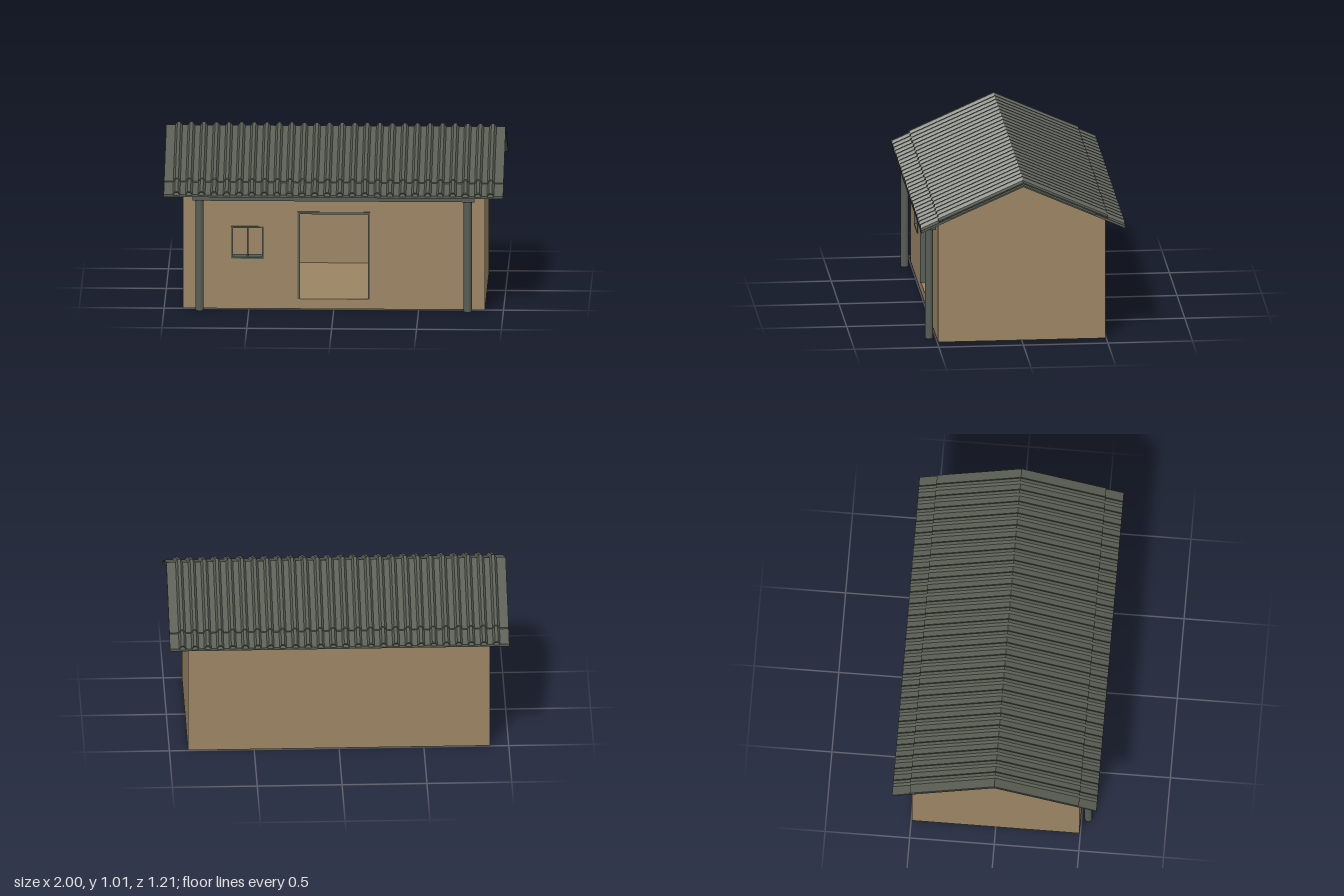
import * as THREE from 'three';

const SLOPE = 0.444;           // roof drop per unit of depth
const WALL_X = 0.89, WALL_Z = 0.495, THICK = 0.07;

function material(name, color) {
  const m = new THREE.MeshStandardMaterial({ color });
  m.name = name;
  return m;
}

function poly(points) {
  return new THREE.Shape(points.map(([x, y]) => new THREE.Vector2(x, y)));
}

function rect(x0, x1, y0, y1) {
  return [[x0, y0], [x1, y0], [x1, y1], [x0, y1]];
}

function extrude(shape, depth, z = 0) {
  const g = new THREE.ExtrudeGeometry(shape, { depth, bevelEnabled: false });
  return g.translate(0, 0, z);
}

// Extrudes a (z, y) outline along x, centred on x
function extrudeAlongX(points, width, x = 0) {
  const g = extrude(poly(points.map(([z, y]) => [-z, y])), width, -width / 2);
  return g.rotateY(Math.PI / 2).translate(x, 0, 0);
}

// Closed outline of a ribbed metal sheet, seen from its end
function ribbedProfile() {
  const top = [[-1, 0]];
  const ribs = 26, pitch = 0.074, height = 0.019;
  for (let i = 0; i < ribs; i++) {
    const c = (i - (ribs - 1) / 2) * pitch;
    top.push([c - 0.021, 0], [c - 0.009, height], [c + 0.009, height], [c + 0.021, 0]);
  }
  top.push([1, 0]);
  const t = 0.007;
  const upper = top.map(([x, y]) => [x, y + t]).reverse();
  return poly([...top, ...upper]);
}

// Sheet running down the front slope from z0 to z1; ridgeY is its height at z = 0
function slopedSheet(shape, z0, z1, ridgeY) {
  const shear = new THREE.Matrix4().set(
    1, 0, 0, 0,
    0, 1, -SLOPE, ridgeY,
    0, 0, 1, 0,
    0, 0, 0, 1);
  return extrude(shape, z1 - z0, z0).applyMatrix4(shear);
}

export function createModel() {
  const house = new THREE.Group();
  house.name = 'house';
  const clay = material('clay', 0x9c8564);
  const metal = material('roofMetal', 0x585c52);
  const trim = material('trim', 0x565d55);

  function add(name, geometry, mat, parent = house) {
    const mesh = new THREE.Mesh(geometry, mat);
    mesh.name = name;
    parent.add(mesh);
    return mesh;
  }

  // Floor and walls
  const innerX = WALL_X - THICK, innerZ = WALL_Z - THICK;
  add('floor', new THREE.BoxGeometry(innerX * 2, 0.06, innerZ * 2).translate(0, 0.03, 0), clay);
  const eaveY = 0.965 - WALL_Z * SLOPE;
  const gable = [[-WALL_Z, 0], [WALL_Z, 0], [WALL_Z, eaveY], [0, 0.965], [-WALL_Z, eaveY]];
  for (const s of [-1, 1]) {
    add(s > 0 ? 'leftGableWall' : 'rightGableWall',
      extrudeAlongX(gable, THICK, s * (WALL_X - THICK / 2)), clay);
  }
  const longWall = () => poly(rect(-innerX, innerX, 0, 0.7));
  add('backWall', extrude(longWall(), THICK, -WALL_Z), clay);

  const doorOpening = rect(-0.213, 0.213, 0.06, 0.588);
  const windowOpening = rect(-0.605, -0.412, 0.302, 0.498);
  const front = longWall();
  front.holes.push(poly(doorOpening), poly(windowOpening));
  add('frontWall', extrude(front, THICK, innerZ), clay);

  // Door and window frames lining the openings
  const frameDepth = THICK + 0.006;
  const doorFrame = poly([[-0.213, 0.06], [-0.2, 0.06], [-0.2, 0.574], [0.2, 0.574],
    [0.2, 0.06], [0.213, 0.06], [0.213, 0.588], [-0.213, 0.588]]);
  add('doorFrame', extrude(doorFrame, frameDepth, innerZ), trim);

  const windowGroup = new THREE.Group();
  windowGroup.name = 'window';
  house.add(windowGroup);
  const windowFrame = poly(windowOpening);
  windowFrame.holes.push(poly(rect(-0.595, -0.422, 0.312, 0.488)));
  add('windowFrame', extrude(windowFrame, frameDepth, innerZ), trim, windowGroup);
  add('windowMullion',
    new THREE.BoxGeometry(0.01, 0.176, 0.02).translate(-0.5085, 0.4, 0.46), trim, windowGroup);

  // Porch posts carrying a beam with a sloped top
  for (const s of [-1, 1]) {
    add(s > 0 ? 'leftPost' : 'rightPost',
      new THREE.CylinderGeometry(0.024, 0.024, 0.68, 12).translate(s * 0.79, 0.34, 0.54), trim);
  }
  const under = z => 0.966 - z * SLOPE;
  add('porchBeam', extrudeAlongX(
    [[0.503, 0.67], [0.576, 0.67], [0.576, under(0.576)], [0.503, under(0.503)]], 1.66), trim);

  // Roof: flat lining, eave strip and overlapping ribbed sheet on each slope
  const ribbed = ribbedProfile();
  const lining = poly(rect(-1, 1, 0, 0.009));
  for (const side of ['front', 'back']) {
    const slope = new THREE.Group();
    slope.name = side + 'Roof';
    if (side === 'back') slope.rotation.y = Math.PI;
    add('roofLining', slopedSheet(lining, 0, 0.604, 0.966), metal, slope);
    add('eaveSheet', slopedSheet(ribbed, 0.43, 0.604, 0.974), metal, slope);
    add('mainSheet', slopedSheet(ribbed, 0, 0.5, 0.985), metal, slope);
    house.add(slope);
  }
  return house;
}
